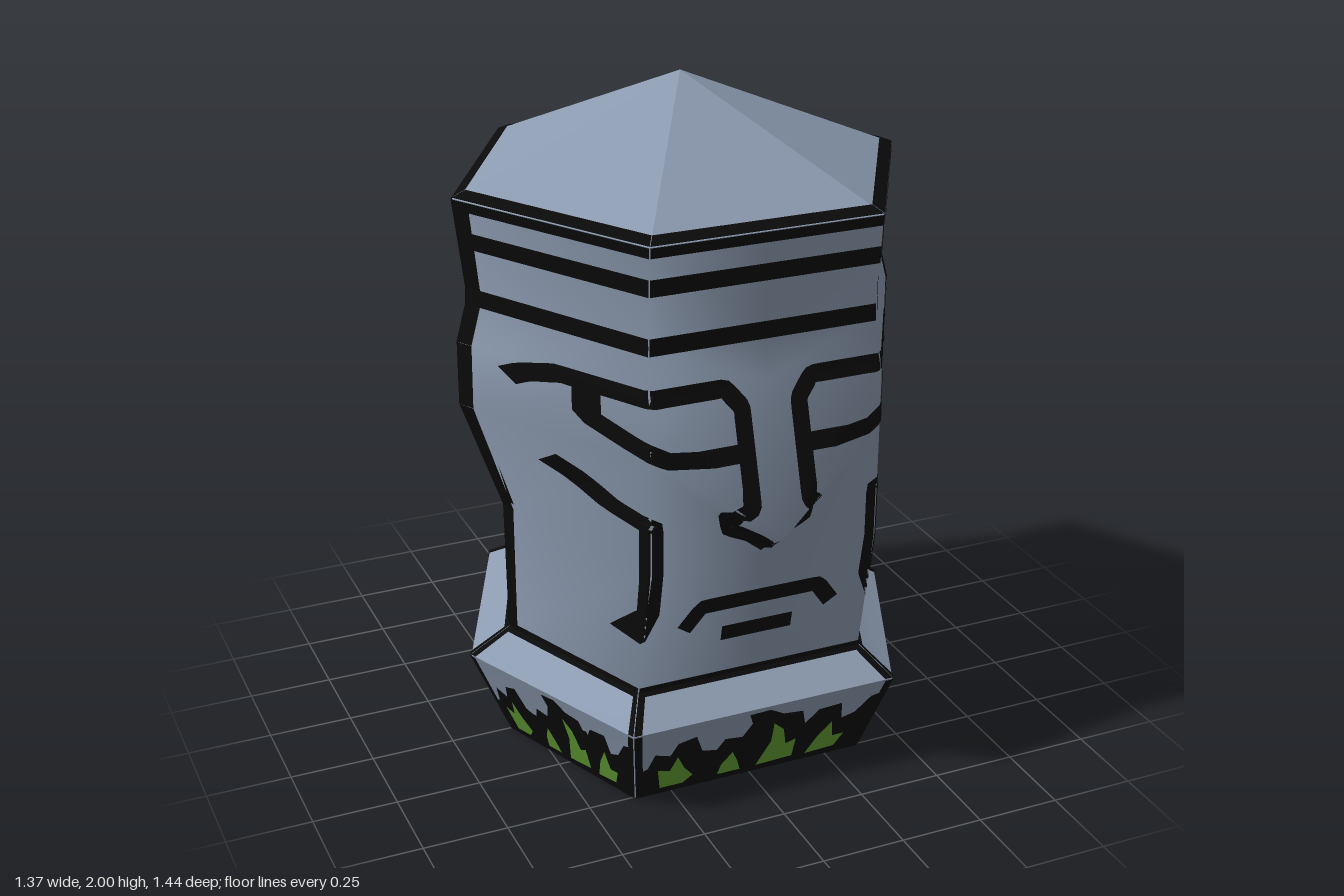
import * as THREE from 'three';
import { mergeGeometries } from 'three/addons/utils/BufferGeometryUtils.js';

const V = (x, y, z) => new THREE.Vector3(x, y, z);
const material = (name, color) => {
  const m = new THREE.MeshStandardMaterial({ color, side: THREE.DoubleSide });
  m.name = name;
  return m;
};

// Head rings: height, side corner x, front corner x, front corner z, centre y, centre z
const HEAD = [
  [0.35, 0.555, 0.35, 0.51, 0.35, 0.51],
  [0.76, 0.56, 0.345, 0.595, 0.78, 0.598],
  [1.1, 0.68, 0.345, 0.6, 0.87, 0.72],
  [1.29, 0.68, 0.345, 0.59, 1.29, 0.59],
  [1.42, 0.645, 0.335, 0.565, 1.42, 0.565],
  [1.71, 0.68, 0.34, 0.59, 1.71, 0.59],
];
const APEX = V(0, 2, 0);

// Six corners of a level, left to right as seen from outside
const hex = ([y, s, c, z]) => [
  V(-c, y, z), V(c, y, z), V(s, y, 0), V(c, y, -z), V(-c, y, -z), V(-s, y, 0),
];
const BASE = [[0, 0.56, 0.36, 0.505], [0.28, 0.68, 0.41, 0.62], [0.35, 0.555, 0.35, 0.51]].map(hex);

function ringAt(y) {
  let i = 0;
  while (i < HEAD.length - 2 && y > HEAD[i + 1][0]) i++;
  const t = (y - HEAD[i][0]) / (HEAD[i + 1][0] - HEAD[i][0]);
  return hex(HEAD[i].slice(0, 4).map((v, k) => v + (HEAD[i + 1][k] - v) * t));
}

// Smooth head with a ridge vertex at each nose, on front and back
function headGeometry() {
  const pos = [], index = [], n = 8;
  for (const [y, s, c, z, my, mz] of HEAD) {
    pos.push(s, y, 0, c, y, z, 0, my, mz, -c, y, z, -s, y, 0, -c, y, -z, 0, my, -mz, c, y, -z);
  }
  for (let r = 0; r < HEAD.length - 1; r++) {
    for (let k = 0; k < n; k++) {
      const a = r * n + k, b = r * n + (k + 1) % n, d = a + n, e = b + n;
      // order runs towards -x on the front, so the outward winding is a, d, b
      if (k % 2) index.push(a, d, b, b, d, e);
      else index.push(a, d, e, a, e, b);
    }
  }
  const g = new THREE.BufferGeometry();
  g.setAttribute('position', new THREE.Float32BufferAttribute(pos, 3));
  // reverse the corners so that faces point outward
  for (let i = 0; i < index.length; i += 3) [index[i + 1], index[i + 2]] = [index[i + 2], index[i + 1]];
  g.setIndex(index);
  g.computeVertexNormals();
  return g;
}

// Flat shape in u, v laid on the panel between a lower and an upper edge
function onPanel(low, high, k, points, lift) {
  const a = low[k], b = low[(k + 1) % 6], c = high[k], d = high[(k + 1) % 6];
  const across = b.clone().sub(a).add(d).sub(c);
  const up = c.clone().add(d).sub(a).sub(b);
  const normal = across.cross(up).normalize();
  const g = new THREE.ShapeGeometry(new THREE.Shape(points.map(p => new THREE.Vector2(...p))));
  const p = g.attributes.position;
  for (let i = 0; i < p.count; i++) {
    const u = p.getX(i), v = p.getY(i);
    const q = a.clone().lerp(b, u).lerp(c.clone().lerp(d, u), v).addScaledVector(normal, lift);
    p.setXYZ(i, q.x, q.y, q.z);
  }
  g.deleteAttribute('uv');
  g.computeVertexNormals();
  return g.toNonIndexed();
}
const rect = (u0, u1, v0 = 0, v1 = 1) => [[u0, v0], [u1, v0], [u1, v1], [u0, v1]];

// Painted stroke in x, y, projected onto the head from the front
function stroke(target, points, width, lift) {
  const ray = new THREE.Raycaster(), path = new THREE.CurvePath(), rows = [];
  const pts = points.map(p => V(p[0], p[1], 0));
  for (let i = 1; i < pts.length; i++) path.add(new THREE.LineCurve3(pts[i - 1], pts[i]));
  const steps = Math.ceil(path.getLength() / 0.015);
  for (let i = 0; i <= steps; i++) {
    const p = path.getPointAt(i / steps);
    const d = path.getPointAt(Math.min(1, i / steps + 0.02))
      .sub(path.getPointAt(Math.max(0, i / steps - 0.02))).normalize();
    rows.push([-1, -0.5, 0, 0.5, 1].map(s => {
      const o = V(p.x - d.y * s * width / 2, p.y + d.x * s * width / 2, 3);
      ray.set(o, V(0, 0, -1));
      const hit = ray.intersectObject(target)[0];
      return hit ? hit.point.addScaledVector(hit.face.normal, lift) : V(o.x, o.y, 0);
    }));
  }
  const out = [];
  for (let i = 0; i < steps; i++) {
    for (let j = 0; j < 4; j++) {
      const a = rows[i][j], b = rows[i + 1][j], c = rows[i + 1][j + 1], d = rows[i][j + 1];
      for (const v of [a, b, c, a, c, d]) out.push(v.x, v.y, v.z);
    }
  }
  const g = new THREE.BufferGeometry();
  g.setAttribute('position', new THREE.Float32BufferAttribute(out, 3));
  g.computeVertexNormals();
  return g;
}

// Flame outline and the green tongues inside it, in panel u, v
const FLAME = [[0, 0], [0, 0.4], [0.05, 0.45], [0.08, 0.65], [0.14, 0.58], [0.17, 0.75], [0.24, 0.8],
  [0.27, 0.55], [0.33, 0.5], [0.36, 0.65], [0.43, 0.62], [0.46, 0.8], [0.44, 0.95], [0.52, 0.96],
  [0.58, 0.85], [0.66, 0.82], [0.69, 0.6], [0.73, 0.78], [0.82, 0.8], [0.85, 0.55], [0.9, 0.6],
  [0.94, 0.8], [1, 0.85], [1, 0]];
const TONGUES = [
  [[0.1, 0.1], [0.2, 0.1], [0.24, 0.2], [0.2, 0.35], [0.17, 0.55], [0.14, 0.35], [0.09, 0.4]],
  [[0.35, 0.1], [0.45, 0.1], [0.43, 0.25], [0.4, 0.42], [0.36, 0.25]],
  [[0.52, 0.1], [0.68, 0.12], [0.67, 0.4], [0.63, 0.35], [0.6, 0.6], [0.55, 0.74], [0.56, 0.45]],
  [[0.74, 0.1], [0.87, 0.12], [0.89, 0.3], [0.84, 0.3], [0.81, 0.54], [0.77, 0.35]],
];

export function createModel() {
  const group = new THREE.Group();
  const stone = material('stone', 0x8c9bb0);
  const black = material('black paint', 0x0a0a0a);
  const green = material('green flame', 0x64a035);
  const add = (name, geometry, mat) => {
    const m = new THREE.Mesh(geometry, mat);
    m.name = name;
    group.add(m);
    return m;
  };
  const whole = rect(0, 1), sides = [0, 1, 2, 3, 4, 5];
  const panels = (low, high, shape, lift = 0) => sides.map(k => onPanel(low, high, k, shape, lift));

  // Stone parts: head, pointed roof, open flared collar
  const head = add('head', headGeometry(), stone);
  head.updateMatrixWorld();
  const eave = ringAt(1.71);
  add('roof', mergeGeometries(panels(eave, eave.map(() => APEX), whole)), stone);
  add('collar', mergeGeometries([
    ...panels(BASE[0], BASE[1], whole), ...panels(BASE[1], BASE[2], whole)]), stone);

  // Face strokes: those with mirrored partners, then the mouth
  const paired = [
    [[0.59, 1.235], [0.56, 1.26], [0.5, 1.285], [0.13, 1.285], [0.085, 1.23], [0.085, 0.96],
      [0.125, 0.93], [0.115, 0.87], [0.05, 0.84], [0, 0.8]],
    [[0.45, 1.27], [0.45, 1.19], [0.38, 1.15], [0.3, 1.11], [0.09, 1.11]],
    [[0.51, 1.01], [0.46, 0.98], [0.4, 0.93], [0.335, 0.91], [0.335, 0.63], [0.375, 0.535]],
  ];
  const single = [
    [[-0.23, 0.55], [-0.18, 0.62], [0.18, 0.62], [0.23, 0.55]],
    [[-0.11, 0.51], [0.11, 0.51]],
  ];
  const mirrored = paired.map(l => l.map(([x, y]) => [-x, y]));

  // Paint lies on both skins, since the shell is open below
  const facePaint = [], bands = [], flames = [], tongues = [];
  for (const s of [1, -1]) {
    const e = 0.004 * s;
    for (const line of [...paired, ...mirrored, ...single]) {
      const g = stroke(head, line, 0.05, e);
      facePaint.push(g, g.clone().rotateY(Math.PI));
    }
    for (const [y0, y1] of [[0.35, 0.37], [1.4, 1.45], [1.57, 1.62], [1.68, 1.71]]) {
      bands.push(...panels(ringAt(y0), ringAt(y1), whole, e));
    }
    bands.push(...panels(eave, eave.map(p => p.clone().lerp(APEX, 0.06)), whole, e));
    bands.push(...panels(BASE[1], BASE[2], rect(0, 1, 0.86, 1), e));
    // Bars down the two side edges
    for (let r = 0; r < HEAD.length - 1; r++) {
      for (const k of [1, 2, 4, 5]) {
        const w0 = 0.068 + 0.004 * r, w1 = w0 + 0.004;
        const bar = k === 1 || k === 4
          ? [[1 - w0, 0], [1, 0], [1, 1], [1 - w1, 1]] : [[0, 0], [w0, 0], [w1, 1], [0, 1]];
        bands.push(onPanel(hex(HEAD[r]), hex(HEAD[r + 1]), k, bar, e));
      }
    }
    // Collar corner lines and flames
    for (const edge of [rect(0, 0.03), rect(0.97, 1)]) {
      bands.push(...panels(BASE[0], BASE[1], edge, e), ...panels(BASE[1], BASE[2], edge, e));
    }
    flames.push(...panels(BASE[0], BASE[1], FLAME, e));
    for (const t of TONGUES) tongues.push(...panels(BASE[0], BASE[1], t, e * 1.8));
  }
  add('facePaint', mergeGeometries(facePaint), black);
  add('bands', mergeGeometries(bands), black);
  add('flameOutlines', mergeGeometries(flames), black);
  add('flameTongues', mergeGeometries(tongues), green);
  return group;
}
